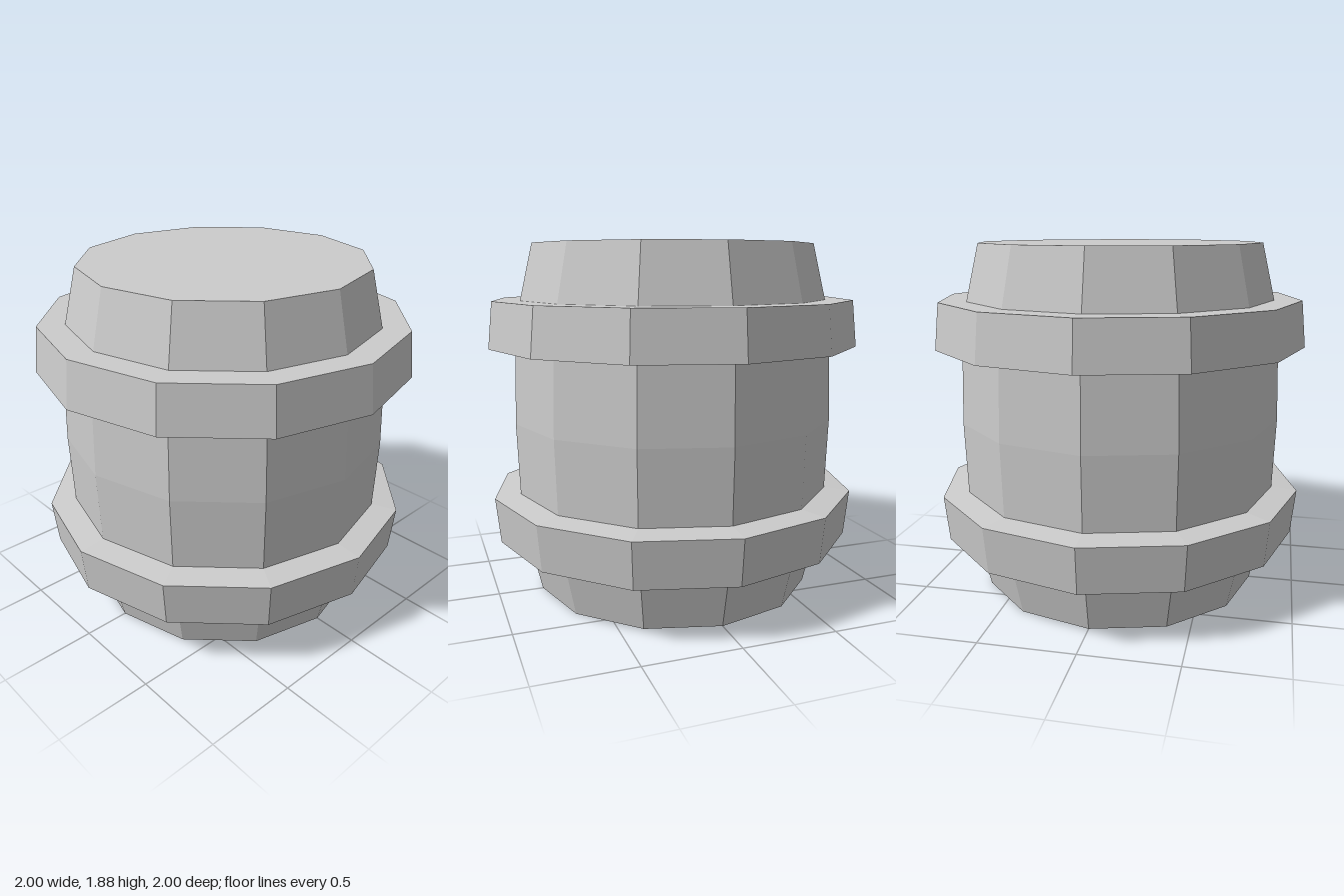
import * as THREE from 'three';

const SIDES = 12;
const HEIGHT = 1.88;

export function createModel() {
  const group = new THREE.Group();
  group.name = 'barrel';
  const material = new THREE.MeshStandardMaterial({ color: 0xcccccc, flatShading: true });

  // Revolve a [radius, height] profile, listed counter-clockwise, into a faceted part
  const addLathe = (name, profile) => {
    const points = profile.map(([r, y]) => new THREE.Vector2(r, y));
    const mesh = new THREE.Mesh(new THREE.LatheGeometry(points, SIDES), material);
    mesh.name = name;
    group.add(mesh);
  };

  // Flip a profile top to bottom, reversing it to keep the faces outward
  const flip = (profile) => profile.map(([r, y]) => [r, HEIGHT - y]).reverse();

  // Bulging body with flat lids
  const lowerBody = [[0, 0], [0.76, 0], [0.83, 0.295], [0.862, 0.555]];
  addLathe('body', [...lowerBody, [0.875, HEIGHT / 2], ...flip(lowerBody)]);

  // Two hoops, each widening toward the middle of the barrel
  const hoop = [[0.83, 0.295], [0.975, 0.295], [1, 0.54], [0.862, 0.555]];
  addLathe('lowerHoop', hoop);
  addLathe('upperHoop', flip(hoop));

  return group;
}
